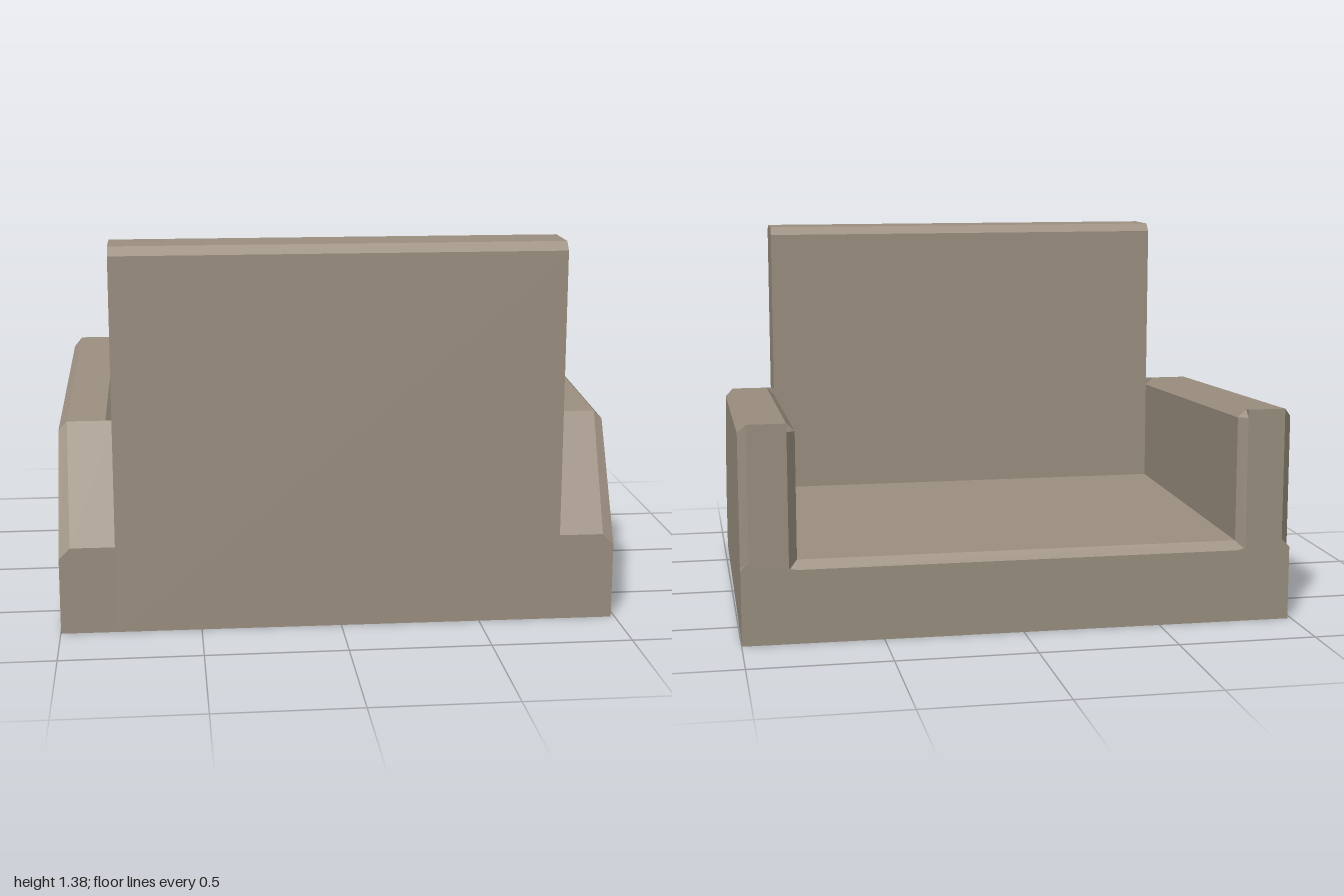
import * as THREE from 'three';

const stone = new THREE.MeshStandardMaterial({ color: 0x9c9081 });
stone.name = 'warm grey';

const OUT = 0.9925, IN = 0.795, Z = 0.75, B = 0.03;

// One ten-point section of an arm: up the outer side, over the top, down the inner side.
// top: height, b: outer bevel, bi: inner bevel, end: true for the chamfered free end
function armSection(z, top, b, bi, end = false) {
  const o = end ? OUT - B : OUT, i = end ? IN + B : IN;
  const low = Math.min(0.3, top - b), seat = end ? 0.265 : 0.295;
  return [
    [OUT, 0], [OUT, Math.min(0.27, low)], [o, low], [o, top - b], [OUT - b, top],
    [IN + bi, top], [i, top - bi], [i, seat], [IN, seat], [IN, 0],
  ].map(([x, y]) => new THREE.Vector3(x, y, z));
}

// Loft the arm sections, with side = 1 or -1 for mirroring
function armGeometry(side) {
  const sections = [
    armSection(Z, 0.315, 0.04, 0),
    armSection(0.515, 0.717, B, 0),
    armSection(0.515, 0.717, B, B),
    armSection(-Z + B, 0.779, B, B),
    armSection(-Z, 0.781, B, B, true),
  ];
  const pos = [];
  const tri = (a, b, c) => {
    for (const p of side > 0 ? [a, b, c] : [a, c, b]) pos.push(p.x * side, p.y, p.z);
  };
  const quad = (a, b, c, d) => { tri(a, b, c); tri(a, c, d); };
  for (let k = 0; k < sections.length - 1; k++) {
    const s = sections[k], t = sections[k + 1];
    for (let i = 0; i < 10; i++) {
      const j = (i + 1) % 10;
      quad(s[i], t[i], t[j], s[j]);
    }
  }
  // End caps
  const f = sections[0], e = sections[sections.length - 1];
  for (let i = 0; i < 4; i++) {
    quad(f[i], f[i + 1], f[8 - i], f[9 - i]);
    quad(e[9 - i], e[8 - i], e[i + 1], e[i]);
  }
  const g = new THREE.BufferGeometry();
  g.setAttribute('position', new THREE.Float32BufferAttribute(pos, 3));
  g.computeVertexNormals();
  return g;
}

export function createModel() {
  const model = new THREE.Group();
  model.name = 'stoneSeat';

  const add = (name, geometry) => {
    const mesh = new THREE.Mesh(geometry, stone);
    mesh.name = name;
    model.add(mesh);
  };

  // Seat and tall back share one side profile (z, y)
  const profile = new THREE.Shape([
    [-Z, 0], [Z, 0], [Z, 1.345], [Z - B, 1.375], [0.545, 1.375], [0.515, 1.345],
    [0.515, 0.295], [-Z + B, 0.295], [-Z, 0.265],
  ].map(([z, y]) => new THREE.Vector2(z, y)));
  const body = new THREE.ExtrudeGeometry(profile, { depth: IN * 2, bevelEnabled: false });
  body.rotateY(-Math.PI / 2).translate(IN, 0, 0);
  add('seatAndBack', body);

  // Sloping arms
  add('leftArm', armGeometry(1));
  add('rightArm', armGeometry(-1));

  // Sits very slightly askew
  model.rotation.y = -0.0085;
  return model;
}
